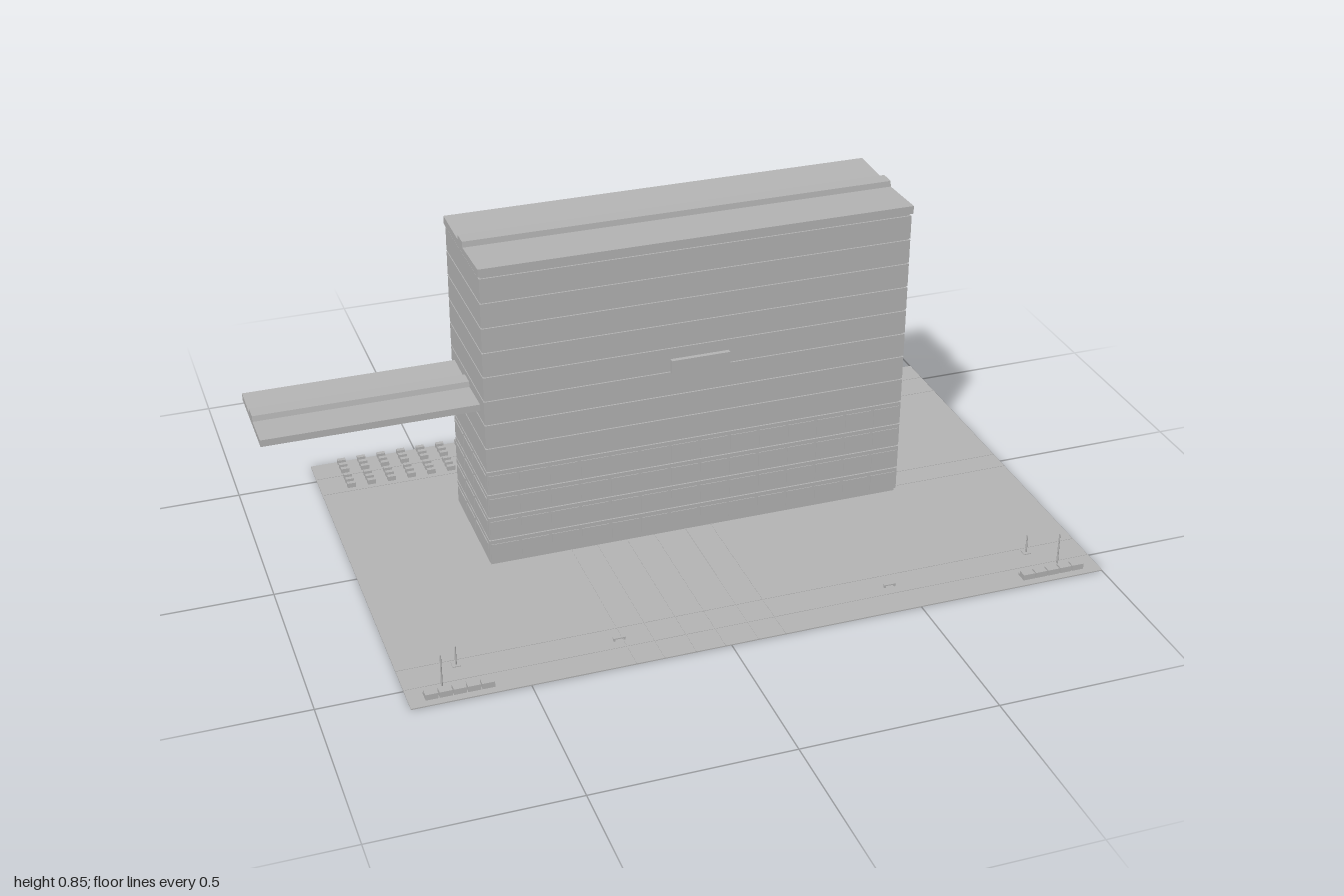
import * as THREE from 'three';

export function createModel() {
  const model = new THREE.Group();
  const grey = new THREE.MeshStandardMaterial({ color: 0xb4b4b4, side: THREE.DoubleSide });
  grey.name = 'concrete grey';

  const add = (name, geometry, parent = model) => {
    const mesh = new THREE.Mesh(geometry, grey);
    mesh.name = name;
    parent.add(mesh);
    return mesh;
  };
  // Box given by its limits on each axis
  const box = (name, x0, x1, y0, y1, z0, z1, parent) => {
    const mesh = add(name, new THREE.BoxGeometry(x1 - x0, y1 - y0, z1 - z0), parent);
    mesh.position.set((x0 + x1) / 2, (y0 + y1) / 2, (z0 + z1) / 2);
    return mesh;
  };
  const group = (name) => {
    const g = new THREE.Group();
    g.name = name;
    model.add(g);
    return g;
  };
  // Profile in (z, y), swept along x
  const sweepX = (name, points, x0, x1, parent) => {
    const shape = new THREE.Shape(points.map(([z, y]) => new THREE.Vector2(-z, y)));
    const geometry = new THREE.ExtrudeGeometry(shape, { depth: x1 - x0, bevelEnabled: false });
    geometry.rotateY(Math.PI / 2);
    geometry.translate(x0, 0, 0);
    return add(name, geometry, parent);
  };

  // Plaza with paving joints
  const plaza = group('plaza');
  box('pavement', -0.79, 1, 0, 0.003, -0.58, 0.575, plaza);
  for (const z of [-0.505, -0.42, 0.42, 0.5]) {
    box('longJoint', -0.79, 1, 0.003, 0.004, z - 0.001, z + 0.001, plaza);
  }
  for (const z of [-0.035, 0.03]) box('sideJoint', 0.665, 1, 0.003, 0.004, z - 0.001, z + 0.001, plaza);
  for (const x of [-0.24, -0.17, -0.09, -0.015, 0.07, 0.14]) {
    box('crossJoint', x - 0.001, x + 0.001, 0.003, 0.004, -0.42, 0.575, plaza);
  }

  // Tower: recessed core with a stack of storeys separated by thin gaps
  const X0 = -0.457, X1 = 0.665, Z0 = -0.264, Z1 = 0.053;
  const tower = group('tower');
  box('core', X0 + 0.004, X1 - 0.004, 0.003, 0.82, Z0 + 0.004, Z1 - 0.004, tower);
  const step = 0.0667;
  for (let i = 0; i < 12; i++) {
    const y = 0.01 + i * step;
    box('storey', X0, X1, y + 0.002, Math.min(y + step - 0.002, 0.82), Z0, Z1, tower);
  }

  // Glazed panels on the four lower storeys
  const glazing = group('lowerGlazing');
  const bays = 14;
  const bay = (X1 - X0) / bays;
  for (let i = 0; i < 4; i++) {
    const y0 = 0.02 + i * step, y1 = y0 + 0.044;
    for (let b = 0; b < bays; b++) {
      const x = X0 + b * bay;
      box('frontWindow', x + 0.004, x + bay - 0.004, y0, y1, Z1, Z1 + 0.002, glazing);
      box('backWindow', x + 0.004, x + bay - 0.004, y0, y1, Z0 - 0.002, Z0, glazing);
    }
    for (const [z0, z1] of [[-0.075, 0.045], [-0.165, -0.083], [-0.256, -0.173]]) {
      box('rightEndWindow', X0 - 0.002, X0, y0, y1, z0, z1, glazing);
      box('leftEndWindow', X1, X1 + 0.002, y0, y1, z0, z1, glazing);
    }
  }

  // Plain plate on the front wall
  box('frontPanel', 0.025, 0.18, 0.477, 0.512, Z1, 0.065);

  // Roof slab with shallow valleys and a raised central spine
  sweepX('roof', [
    [0.056, 0.815], [0.056, 0.836], [-0.084, 0.831], [-0.086, 0.846],
    [-0.126, 0.846], [-0.128, 0.833], [-0.267, 0.837], [-0.267, 0.815],
  ], -0.46, 0.668);

  // Side canopy with the same spine
  sweepX('sideCanopy', [
    [0.015, 0.432], [0.015, 0.45], [-0.086, 0.447], [-0.089, 0.461],
    [-0.128, 0.461], [-0.131, 0.447], [-0.232, 0.45], [-0.232, 0.432],
  ], -1, -0.455);

  // Rows of low barriers along the back edge
  const barriers = group('backBarriers');
  for (let i = 0; i < 30; i++) {
    const x = -0.707 + i * 0.055;
    for (const z of [-0.57, -0.546, -0.522, -0.49, -0.466, -0.442]) {
      box('barrier', x - 0.011, x + 0.011, 0.003, 0.016, z - 0.006, z + 0.006, barriers);
    }
  }

  // Planters, poles and benches along the front
  const furniture = group('frontFurniture');
  const pole = (x, z, height) => {
    const p = add('pole', new THREE.CylinderGeometry(0.0018, 0.0025, height, 8), furniture);
    p.position.set(x, height / 2, z);
  };
  for (const x0 of [-0.75, 0.79]) {
    for (let i = 0; i < 5; i++) {
      box('planter', x0 + i * 0.034, x0 + i * 0.034 + 0.031, 0.003, 0.018, 0.533, 0.555, furniture);
    }
    box('planterKerb', x0, x0 + 0.167, 0.003, 0.009, 0.526, 0.533, furniture);
  }
  for (const [x, side] of [[-0.7, 1], [0.907, -1]]) {
    pole(x, 0.51, 0.09);
    pole(x + side * 0.052, 0.44, 0.055);
    box('poleBase', x + side * 0.052 - 0.01, x + side * 0.052 + 0.01, 0.003, 0.005, 0.43, 0.45, furniture);
  }
  for (const x of [-0.25, 0.46]) {
    box('benchSeat', x - 0.016, x + 0.016, 0.009, 0.012, 0.466, 0.474, furniture);
    for (const s of [-1, 1]) {
      box('benchLeg', x + s * 0.013 - 0.002, x + s * 0.013 + 0.002, 0.003, 0.009, 0.467, 0.473, furniture);
    }
  }

  return model;
}
